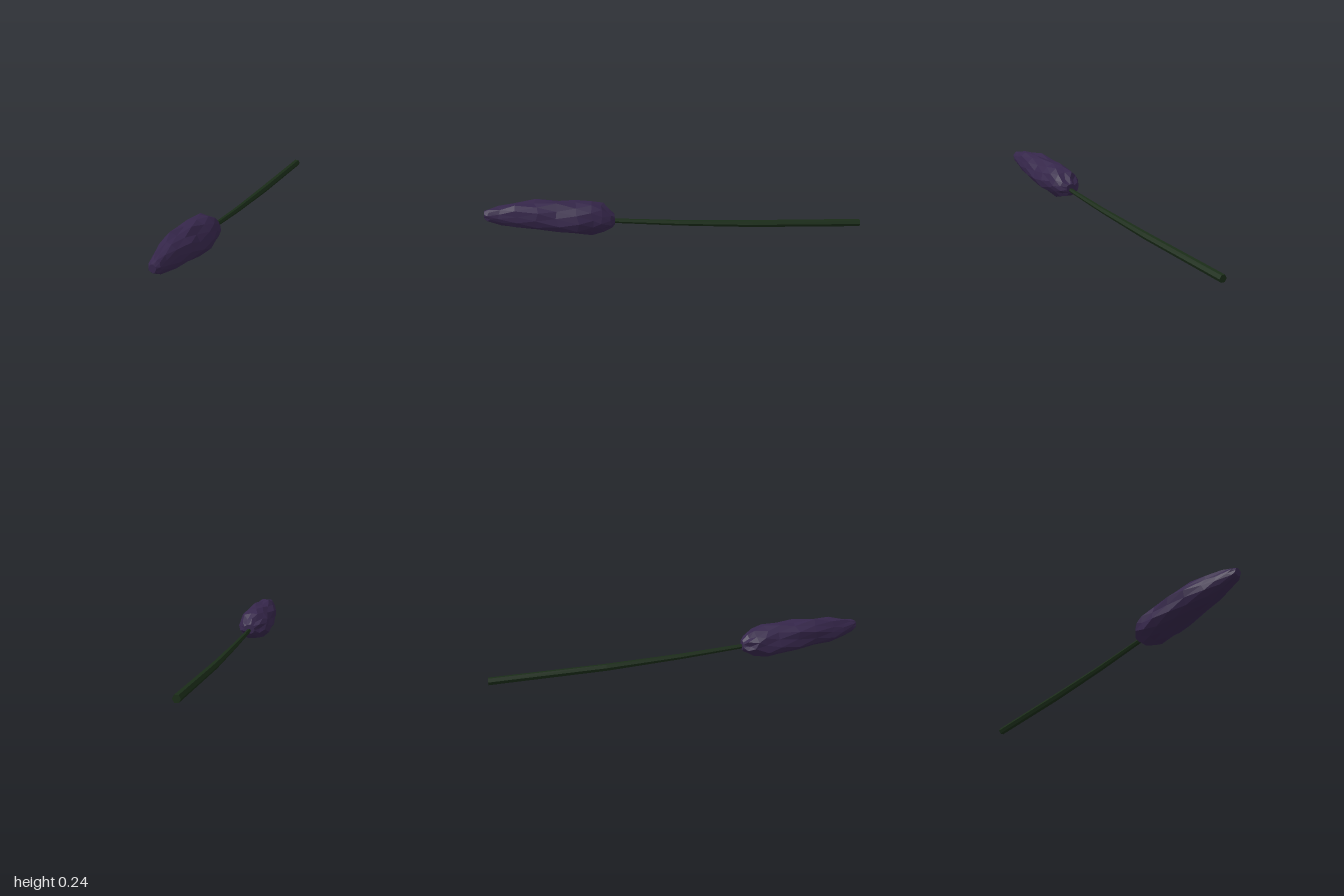
import * as THREE from 'three';

// Small seeded random for repeatable facets
function seeded(seed) {
  return () => {
    seed = (seed * 16807) % 2147483647;
    return seed / 2147483647;
  };
}

// Loft rings of { z, x, y, rx, ry } with optional roughness, closed at both ends
function loft(rings, sides, rough = 0) {
  const rand = seeded(4217);
  const pos = [], index = [];
  const last = rings.length - 1;
  rings.forEach(({ z, x, y, rx, ry }, i) => {
    const inner = i > 0 && i < last;
    for (let j = 0; j < sides; j++) {
      const a = ((j + (i % 2) * 0.5 * (rough ? 1 : 0)) / sides) * Math.PI * 2;
      const k = 1 + rough * (rand() * 1.3 - 0.9);
      const dz = inner ? rough * (rand() - 0.5) * 0.16 : 0;
      pos.push(x + Math.cos(a) * rx * k, y + Math.sin(a) * ry * k, z + dz);
    }
  });
  for (let i = 0; i < last; i++) {
    for (let j = 0; j < sides; j++) {
      const n = (j + 1) % sides;
      const a = i * sides + j, b = i * sides + n, c = a + sides, d = b + sides;
      if (i % 2) index.push(a, b, d, a, d, c);
      else index.push(a, b, c, b, d, c);
    }
  }
  // End caps
  const back = pos.length / 3, front = back + 1;
  const r0 = rings[0], r1 = rings[last];
  pos.push(r0.x, r0.y, r0.z, r1.x, r1.y, r1.z);
  for (let j = 0; j < sides; j++) {
    const n = (j + 1) % sides;
    index.push(back, n, j, front, last * sides + j, last * sides + n);
  }
  const geo = new THREE.BufferGeometry();
  geo.setAttribute('position', new THREE.Float32BufferAttribute(pos, 3));
  geo.setIndex(index);
  const flat = geo.toNonIndexed();
  flat.computeVertexNormals();
  return flat;
}

function part(name, geometry, color) {
  const mesh = new THREE.Mesh(geometry, new THREE.MeshStandardMaterial({ color, flatShading: true }));
  mesh.name = name;
  return mesh;
}

export function createModel() {
  const model = new THREE.Group();
  model.name = 'flowerSprig';

  // Gently bowed, tapering six-sided stem: z, x, y, radius
  const stem = [
    [-1, -0.008, 0.022, 0.02],
    [-0.4, -0.005, 0.052, 0.019],
    [0, 0, 0.082, 0.015],
    [0.34, 0.003, 0.115, 0.012],
    [0.5, 0.003, 0.135, 0.01],
  ].map(([z, x, y, r]) => ({ z, x, y, rx: r, ry: r }));
  model.add(part('stem', loft(stem, 6), 0x1a2c18));

  // Rugged flower head: z, left and right edge in x, bottom and top in y
  const head = [
    [0.338, -0.03, 0.032, 0.095, 0.152],
    [0.365, -0.06, 0.058, 0.072, 0.178],
    [0.405, -0.088, 0.08, 0.058, 0.208],
    [0.455, -0.094, 0.092, 0.048, 0.222],
    [0.53, -0.094, 0.093, 0.052, 0.234],
    [0.63, -0.09, 0.09, 0.068, 0.243],
    [0.74, -0.075, 0.084, 0.09, 0.25],
    [0.84, -0.055, 0.076, 0.11, 0.242],
    [0.92, -0.034, 0.062, 0.132, 0.232],
    [0.975, -0.012, 0.052, 0.155, 0.224],
    [1, 0.004, 0.04, 0.172, 0.214],
  ].map(([z, x0, x1, y0, y1]) => ({
    z, x: (x0 + x1) / 2, y: (y0 + y1) / 2, rx: (x1 - x0) / 2, ry: (y1 - y0) / 2,
  }));
  model.add(part('flowerHead', loft(head, 13, 0.16), 0x35264a));

  return model;
}
